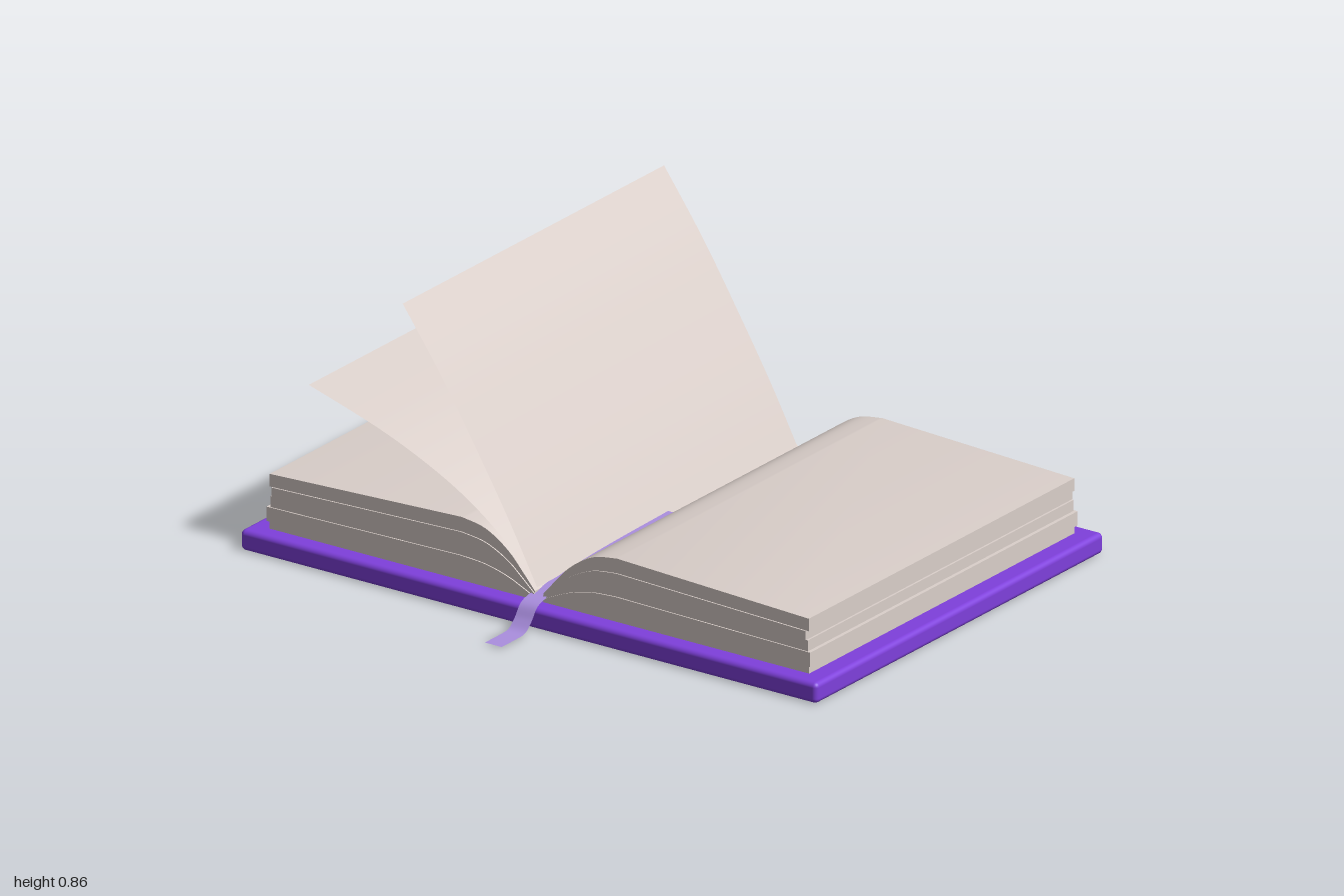
import * as THREE from 'three';
import { RoundedBoxGeometry } from 'three/addons/geometries/RoundedBoxGeometry.js';
import { toCreasedNormals } from 'three/addons/utils/BufferGeometryUtils.js';

const COVER_TOP = 0.063;

// Smooth curve through [x, y] pairs
const curve2 = (pts, n) =>
  new THREE.SplineCurve(pts.map(([x, y]) => new THREE.Vector2(x, y))).getPoints(n);

// Strip swept along [u, v] points; place(point, index, side) gives each corner
function strip(points, place) {
  const pos = [], idx = [];
  points.forEach((p, i) => {
    pos.push(...place(p, i, 0), ...place(p, i, 1));
    if (i) {
      const a = 2 * i - 2;
      idx.push(a, a + 1, a + 2, a + 1, a + 3, a + 2);
    }
  });
  const g = new THREE.BufferGeometry();
  g.setAttribute('position', new THREE.Float32BufferAttribute(pos, 3));
  g.setIndex(idx);
  g.computeVertexNormals();
  return g;
}

export function createModel() {
  const book = new THREE.Group();
  book.name = 'openBook';
  const purple = new THREE.MeshStandardMaterial({ color: 0x7f40dc });
  purple.name = 'coverPurple';
  const paper = new THREE.MeshStandardMaterial({ color: 0xdacfca, side: THREE.DoubleSide });
  paper.name = 'paper';
  const lilac = new THREE.MeshStandardMaterial({ color: 0xab8fe0, side: THREE.DoubleSide });
  lilac.name = 'ribbonLilac';

  const add = (name, geometry, material, parent = book) => {
    const m = new THREE.Mesh(geometry, material);
    m.name = name;
    parent.add(m);
    return m;
  };

  // Cover board
  add('cover', new RoundedBoxGeometry(2, COVER_TOP, 1.4, 3, 0.015), purple)
    .position.set(0, COVER_TOP / 2, -0.085);

  // Upper outline of a page block, from gutter to fore edge
  const top = curve2([[0.015, 0.09], [0.06, 0.142], [0.1, 0.185], [0.15, 0.222],
    [0.2, 0.245], [0.27, 0.256]], 24);
  top.push(new THREE.Vector2(0.93, 0.23));

  // Layers of pages: lower and upper fraction of height, fore edge x, extra depth
  const layers = [
    [0, 0.14, 0.936, 0], [0.14, 0.4, 0.943, 0.005], [0.4, 0.6, 0.932, 0.001],
    [0.6, 0.77, 0.926, 0.004], [0.77, 1, 0.935, 0],
  ];
  for (const side of [1, -1]) {
    const block = new THREE.Group();
    block.name = side > 0 ? 'leftPageBlock' : 'rightPageBlock';
    book.add(block);
    layers.forEach(([f0, f1, edge, extra], i) => {
      const level = (f) => top.map((p, k) => new THREE.Vector2(
        side * (k === top.length - 1 ? edge : p.x),
        COVER_TOP + (p.y - COVER_TOP) * f));
      const outline = [...level(f1), ...(f0 ? level(f0).reverse()
        : [new THREE.Vector2(side * edge, COVER_TOP - 0.002),
          new THREE.Vector2(side * 0.015, COVER_TOP - 0.002)])];
      const depth = 1.292 + 2 * extra;
      const g = new THREE.ExtrudeGeometry(new THREE.Shape(outline),
        { depth, bevelEnabled: false });
      g.translate(0, 0, -0.731 - extra);
      add('pageLayer' + (i + 1), toCreasedNormals(g, 0.5), paper, block);
    });
  }

  // Two loose pages lifting from the gutter
  const leaf = (name, pts, z0, z1) => add(name,
    strip(curve2(pts, 32), (p, i, s) => [p.x, p.y, s ? z1 : z0]), paper);
  leaf('raisedPage', [[-0.012, 0.1], [-0.1, 0.265], [-0.2, 0.435], [-0.34, 0.66],
    [-0.478, 0.855]], -0.717, 0.555);
  leaf('loweredPage', [[-0.012, 0.1], [-0.1, 0.2], [-0.22, 0.295], [-0.36, 0.375],
    [-0.55, 0.455], [-0.8, 0.533]], -0.722, 0.56);

  // Ribbon bookmark: [z, y] path, widening where it leaves the gutter
  const path = curve2([[-0.09, 0.118], [0.2, 0.112], [0.46, 0.1], [0.56, 0.083],
    [0.61, 0.068], [0.64, 0.032], [0.67, 0.008], [0.71, 0.004], [0.785, 0.004]], 48);
  add('ribbonBookmark', strip(path, (p, i, s) => {
    const half = 0.017 + 0.012 * THREE.MathUtils.smoothstep(p.x, 0.53, 0.57);
    return [s ? half : -half, p.y, p.x];
  }).scale(1, 1, 1), lilac);

  return book;
}
